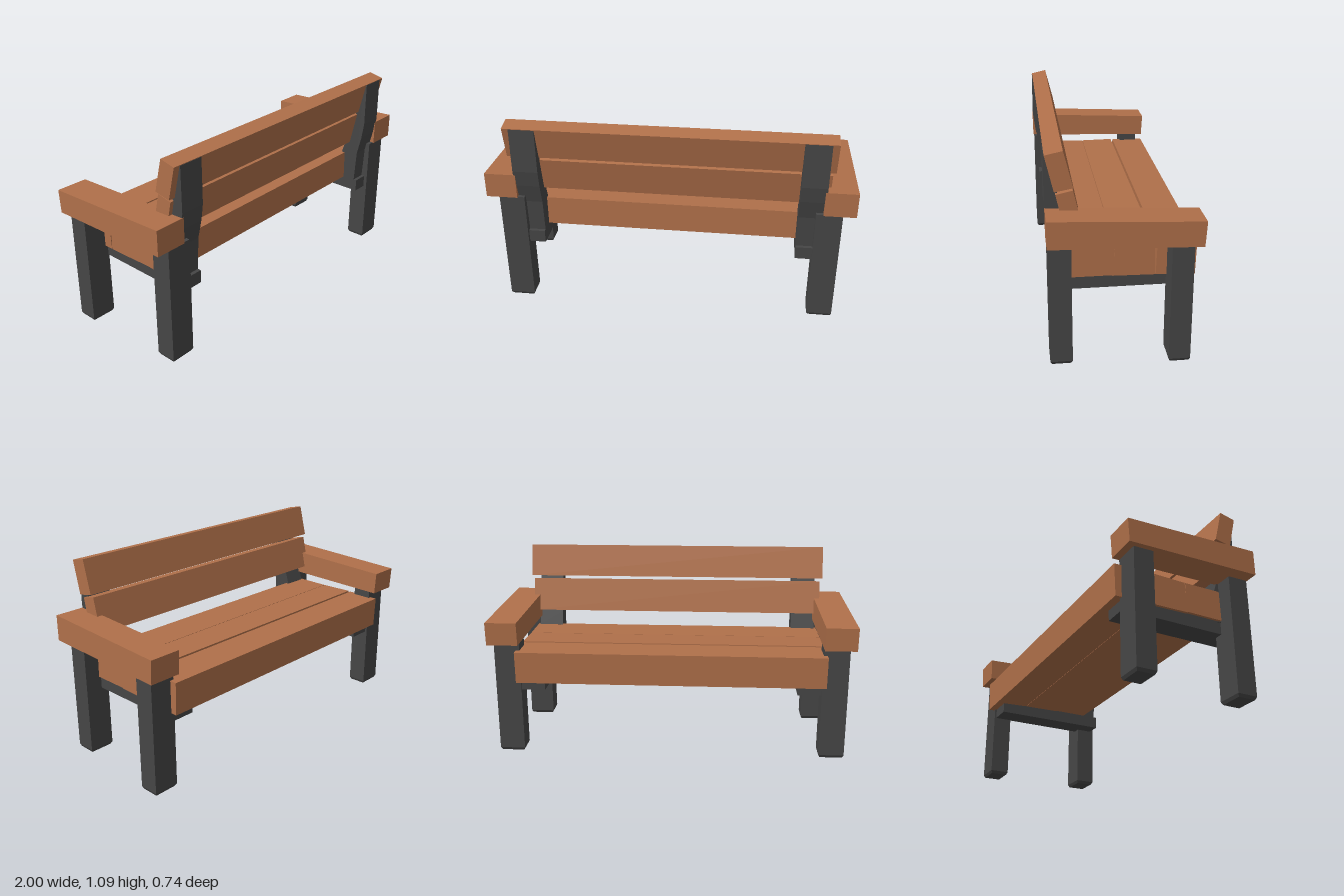
import * as THREE from 'three';

// Solid spanning x0..x1 whose side outline is a list of [z, y] points
function prism(outline, x0, x1) {
  const shape = new THREE.Shape(outline.map(([z, y]) => new THREE.Vector2(z, y)));
  const geo = new THREE.ExtrudeGeometry(shape, { depth: x1 - x0, bevelEnabled: false });
  geo.rotateY(-Math.PI / 2);
  geo.translate(x1, 0, 0);
  return geo;
}

// Square post with a small chamfer around its foot
function legGeometry(x0, x1, z0, z1, height) {
  const foot = 0.016, w = x1 - x0, d = z1 - z0;
  const geo = new THREE.BoxGeometry(w, height, d, 1, 2, 1);
  const p = geo.attributes.position;
  for (let i = 0; i < p.count; i++) {
    const y = p.getY(i) + height / 2;
    if (y < 0.001) {
      p.setX(i, p.getX(i) * (1 - foot / w));
      p.setZ(i, p.getZ(i) * (1 - foot / d));
    } else if (y < height - 0.001) {
      p.setY(i, foot - height / 2);
    }
  }
  geo.translate((x0 + x1) / 2, height / 2, (z0 + z1) / 2);
  const flat = geo.toNonIndexed();
  flat.computeVertexNormals();
  return flat;
}

export function createModel() {
  const wood = new THREE.MeshStandardMaterial({ color: 0xb0704a });
  wood.name = 'reddish wood';
  const frame = new THREE.MeshStandardMaterial({ color: 0x464646 });
  frame.name = 'dark grey frame';

  const bench = new THREE.Group();
  bench.name = 'bench';
  const add = (name, geo, material, parent = bench) => {
    const mesh = new THREE.Mesh(geo, material);
    mesh.name = name;
    parent.add(mesh);
  };

  // Seat planks, from the backrest to the front edge
  const seat = [
    [[0.25, 0.435], [0.045, 0.435], [0.04, 0.597], [0.246, 0.6]],
    [[0.048, 0.432], [-0.162, 0.428], [-0.157, 0.6], [0.037, 0.597]],
    [[-0.164, 0.428], [-0.36, 0.42], [-0.365, 0.595], [-0.17, 0.598]],
  ];
  seat.forEach((outline, i) => add('seatPlank' + (i + 1), prism(outline, -0.85, 0.85), wood));

  // Leaning backrest planks
  add('upperBackPlank', prism([[0.325, 0.888], [0.235, 0.905], [0.28, 1.086], [0.367, 1.067]], -0.875, 0.875), wood);
  add('lowerBackPlank', prism([[0.278, 0.68], [0.193, 0.7], [0.236, 0.888], [0.318, 0.87]], -0.86, 0.86), wood);

  // Legs, rail, back post and armrest on each side
  const post = [
    [0.235, 0.43], [0.225, 0.6], [0.25, 0.68], [0.315, 0.89], [0.355, 1.06],
    [0.37, 1.065], [0.372, 0.82], [0.36, 0.73], [0.335, 0.62], [0.325, 0.43],
  ];
  const arm = [[0.37, 0.657], [-0.365, 0.635], [-0.372, 0.762], [0.37, 0.796]];
  for (const side of [1, -1]) {
    const half = new THREE.Group();
    half.name = side > 0 ? 'leftSide' : 'rightSide';
    bench.add(half);
    const span = (a, b) => (side > 0 ? [a, b] : [-b, -a]);
    add('backLeg', legGeometry(...span(0.79, 0.93), 0.254, 0.365, 0.66), frame, half);
    add('frontLeg', legGeometry(...span(0.83, 0.97), -0.326, -0.218, 0.645), frame, half);
    add('seatRail', prism([[0.345, 0.365], [-0.315, 0.365], [-0.315, 0.436], [0.345, 0.436]], ...span(0.7, 0.835)), frame, half);
    add('backPost', prism(post, ...span(0.7, 0.838)), frame, half);
    add('armrest', prism(arm, ...span(0.828, 1)), wood, half);
  }
  return bench;
}
